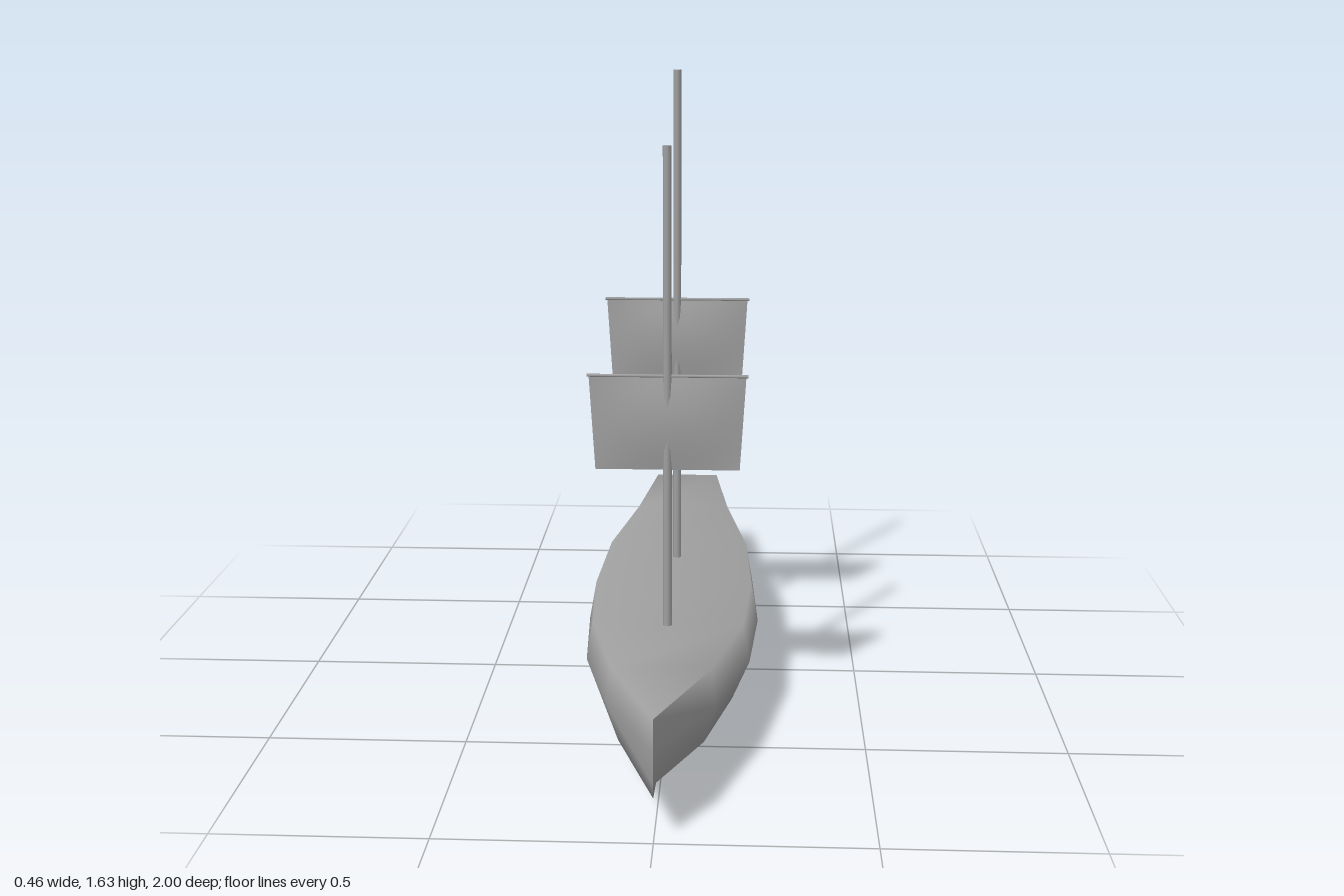
import * as THREE from 'three';

export function createModel() {
  const model = new THREE.Group();
  const grey = new THREE.MeshStandardMaterial({ color: 0xa0a0a0, side: THREE.DoubleSide });
  grey.name = 'plainGrey';

  const add = (name, geometry, x = 0, y = 0, z = 0) => {
    const mesh = new THREE.Mesh(geometry, grey);
    mesh.name = name;
    mesh.position.set(x, y, z);
    model.add(mesh);
    return mesh;
  };

  // Hull stations, stern to bow: z, half beam, keel height, rail height
  const stations = [
    [-1, 0.105, 0.115, 0.275],
    [-0.67, 0.15, 0.06, 0.267],
    [-0.33, 0.215, 0.02, 0.26],
    [0, 0.232, 0.006, 0.256],
    [0.33, 0.21, 0.02, 0.268],
    [0.67, 0.13, 0.06, 0.283],
    [1, 0, 0.115, 0.302],
  ];
  // Half section: keel, bilge, widest line, rail (fractions of beam and depth)
  const half = [[0, 0], [0.79, 0.17], [1, 0.58], [0.92, 1]];
  const section = [...half, ...half.slice(1).reverse().map(([x, y]) => [-x, y])];
  const n = section.length;
  const points = [], faces = [];
  stations.forEach(([z, beam, keel, rail], s) => {
    section.forEach(([x, y], i) => {
      points.push(x * beam, keel + y * (rail - keel), z);
      if (s === 0) return;
      const a = (s - 1) * n + i, b = (s - 1) * n + (i + 1) % n;
      faces.push(a, b, b + n, a, b + n, a + n);
    });
  });
  // Stern plate
  for (let i = 1; i < n - 1; i++) faces.push(0, i + 1, i);
  const hull = new THREE.BufferGeometry();
  hull.setAttribute('position', new THREE.Float32BufferAttribute(points, 3));
  hull.setIndex(faces);
  hull.computeVertexNormals();
  add('hull', hull);

  // Rudder
  add('rudder', new THREE.BoxGeometry(0.012, 0.12, 0.02), 0, 0.095, -0.99);

  // Slightly billowed sail, narrower at the foot
  const sailGeometry = () => {
    const g = new THREE.PlaneGeometry(0.39, 0.24, 10, 8);
    const p = g.attributes.position;
    for (let i = 0; i < p.count; i++) {
      const u = p.getX(i) / 0.195, t = 0.5 - p.getY(i) / 0.24;
      p.setX(i, p.getX(i) * (1 - 0.075 * t));
      p.setZ(i, 0.013 * Math.sin(Math.PI * t) * (1 - u * u));
    }
    g.computeVertexNormals();
    return g;
  };

  // Masts with a yard and a sail each
  for (const [name, z, top, yard] of [['fore', 0.35, 1.485, 0.92], ['main', -0.215, 1.637, 1.01]]) {
    const foot = 0.24;
    add(name + 'Mast', new THREE.CylinderGeometry(0.0105, 0.0115, top - foot, 8), 0, (top + foot) / 2, z);
    add(name + 'Yard', new THREE.CylinderGeometry(0.004, 0.004, 0.4, 6), 0, yard, z).rotation.z = Math.PI / 2;
    add(name + 'Sail', sailGeometry(), 0, yard - 0.12, z);
  }
  return model;
}
